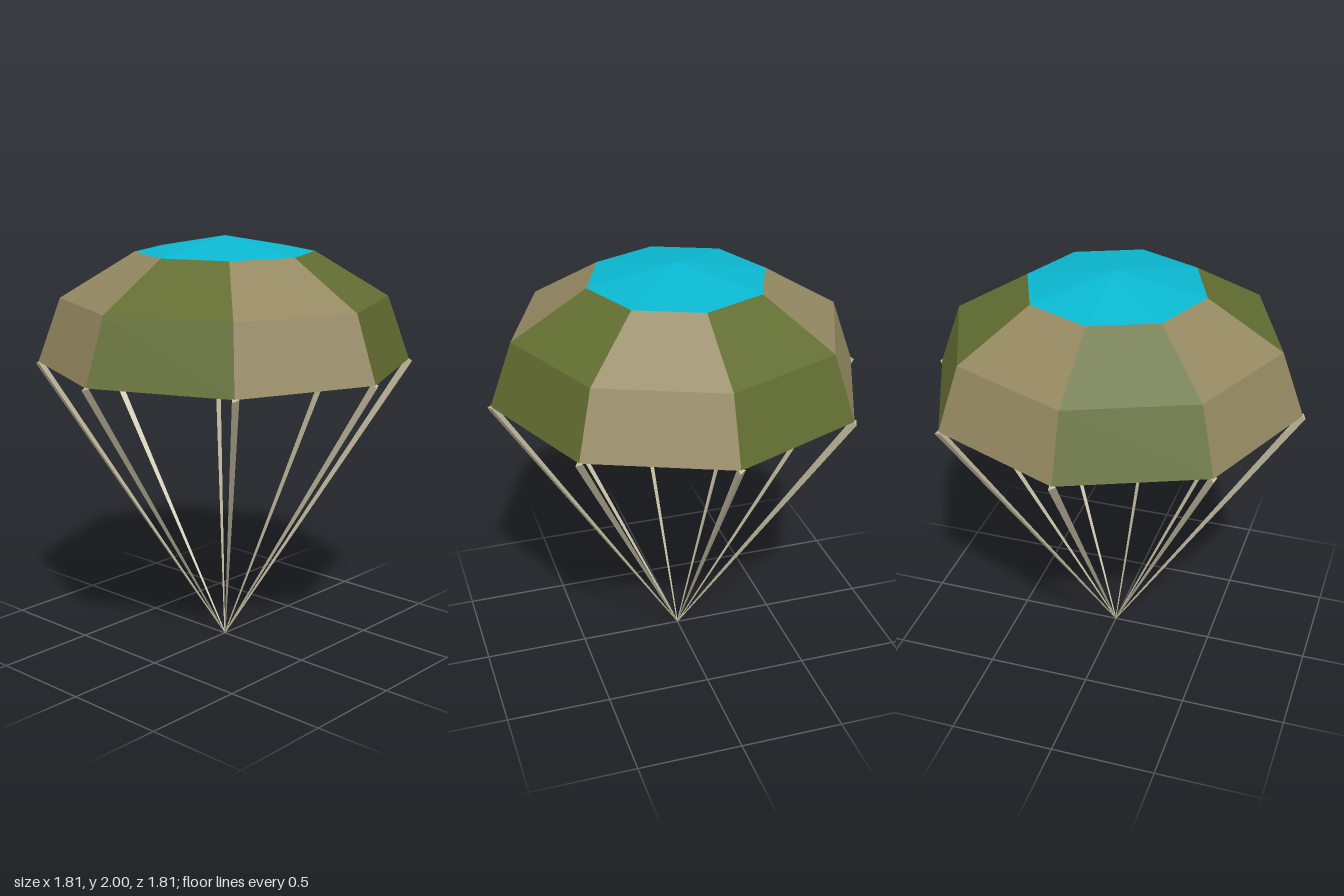
import * as THREE from 'three';

const SIDES = 8;
const STEP = (Math.PI * 2) / SIDES;
const RIM_RADIUS = 0.89;
const RIM_Y = 1.405;

const material = (name, color) => {
  const m = new THREE.MeshStandardMaterial({ color });
  m.name = name;
  return m;
};

// Unshared corners give every face its own flat normal
function faceted(geometry) {
  const g = geometry.toNonIndexed();
  g.computeVertexNormals();
  return g;
}

function addMesh(parent, name, geometry, mat) {
  const mesh = new THREE.Mesh(faceted(geometry), mat);
  mesh.name = name;
  parent.add(mesh);
  return mesh;
}

// One wedge of the canopy, swept from a profile of [radius, height] points
function wedge(points, i) {
  const profile = points.map(([r, y]) => new THREE.Vector2(r, y));
  return new THREE.LatheGeometry(profile, 1, i * STEP, STEP);
}

// Tapered three-sided line leaning from the centre out to the rim
function suspensionLine() {
  const length = Math.hypot(RIM_RADIUS, RIM_Y);
  const g = new THREE.CylinderGeometry(0.02, 0.003, length, 3, 1, false, Math.PI / 2);
  g.translate(0, length / 2, 0);
  g.rotateX(Math.atan2(RIM_RADIUS, RIM_Y));
  return g;
}

export function createModel() {
  const olive = material('olive cloth', 0x626d31);
  const tan = material('tan cloth', 0x948861);
  const darkOlive = material('dark olive lining', 0x444722);
  const darkBrown = material('dark brown lining', 0x60503d);
  const teal = material('teal cloth', 0x0ab7cf);
  const cord = material('cord', 0xbdb59b);

  const model = new THREE.Group();
  model.name = 'parachute';

  // Canopy: outer panels with a darker shallow cone underneath
  const canopy = new THREE.Group();
  canopy.name = 'canopy';
  const outer = [[RIM_RADIUS, RIM_Y], [0.78, 1.71], [0.425, 1.925]];
  const inner = [[0, 1.86], [RIM_RADIUS, RIM_Y]];
  for (let i = 0; i < SIDES; i++) {
    const odd = i % 2 === 1;
    addMesh(canopy, 'canopyPanel', wedge(outer, i), odd ? tan : olive);
    addMesh(canopy, 'canopyLining', wedge(inner, i), odd ? darkBrown : darkOlive);
  }

  // Crown cap
  const cap = new THREE.ConeGeometry(0.425, 0.075, SIDES, 1, true);
  addMesh(canopy, 'crownCap', cap, teal).position.y = 1.9625;
  model.add(canopy);

  // Suspension lines, one for each rim corner
  const lines = new THREE.Group();
  lines.name = 'suspensionLines';
  for (let i = 0; i < SIDES; i++) {
    addMesh(lines, 'suspensionLine', suspensionLine(), cord).rotation.y = i * STEP;
  }
  model.add(lines);

  return model;
}
